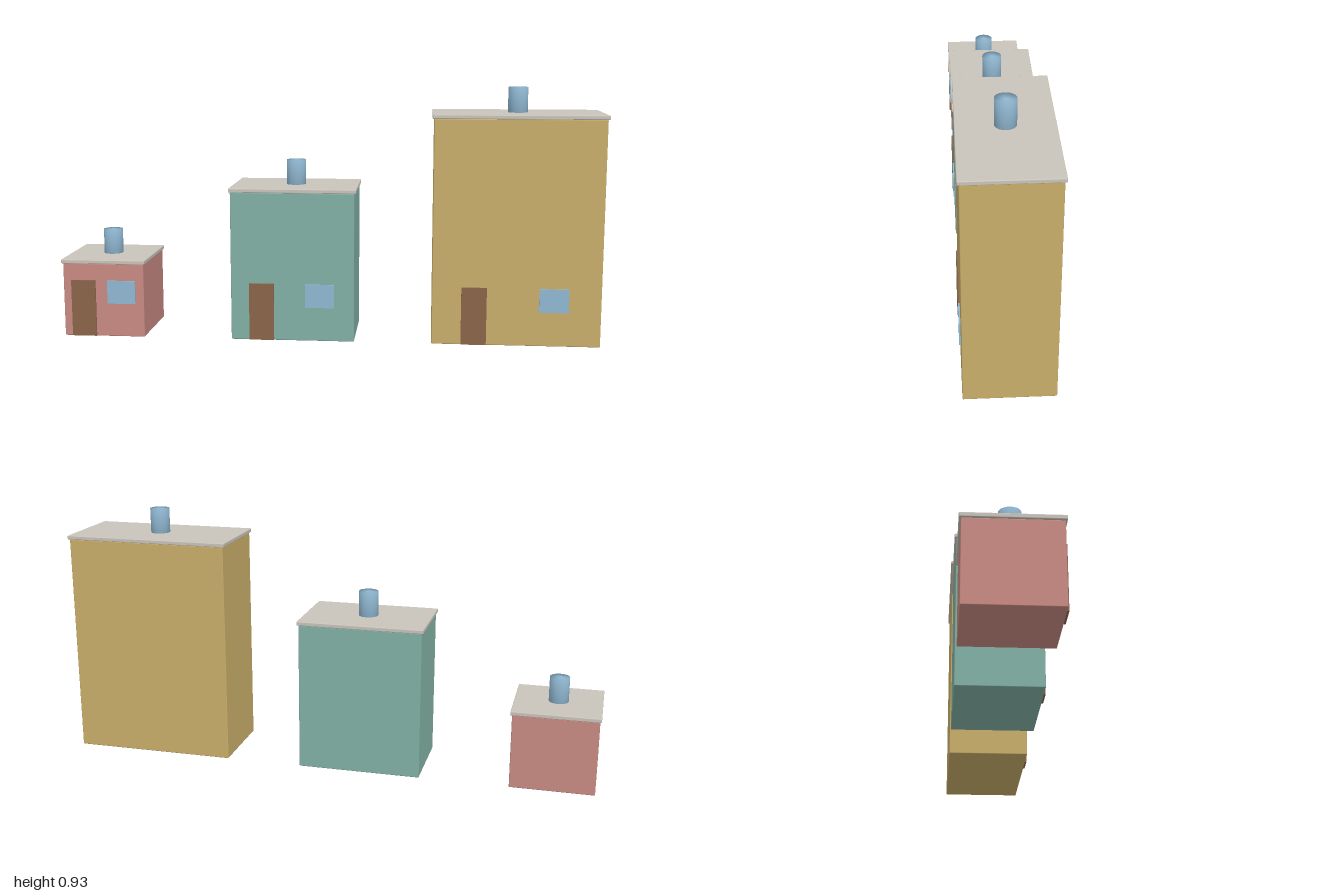
import * as THREE from 'three';
import { mergeVertices } from 'three/addons/utils/BufferGeometryUtils.js';
import { RoundedBoxGeometry } from 'three/addons/geometries/RoundedBoxGeometry.js';

const DEPTH = 0.305;
const EAVE = 0.006;

function paint(name, color) {
  const material = new THREE.MeshStandardMaterial({ color });
  material.name = name;
  return material;
}

function part(name, geometry, material, x, y, z) {
  const mesh = new THREE.Mesh(geometry, material);
  mesh.name = name;
  mesh.position.set(x, y, z);
  return mesh;
}

// Cylinder whose shading runs smoothly over its rims
function softCylinder(radius, height) {
  const g = new THREE.CylinderGeometry(radius, radius, height, 32);
  g.deleteAttribute('normal');
  g.deleteAttribute('uv');
  const merged = mergeVertices(g);
  merged.computeVertexNormals();
  return merged;
}

export function createModel() {
  const model = new THREE.Group();
  model.name = 'houseRow';

  const roofPaint = paint('roofGrey', 0xc9c4bb);
  const doorPaint = paint('doorBrown', 0x8b654a);
  const bluePaint = paint('paleBlue', 0x90b8d2);

  const houses = [
    { name: 'smallHouse', x: -0.842, width: 0.305, height: 0.277, wall: paint('wallPink', 0xc98a83) },
    { name: 'mediumHouse', x: -0.131, width: 0.457, height: 0.552, wall: paint('wallGreen', 0x82b0a4) },
    { name: 'largeHouse', x: 0.687, width: 0.61, height: 0.826, wall: paint('wallYellow', 0xc9ae6a) },
  ];

  for (const { name, x, width, height, wall } of houses) {
    const house = new THREE.Group();
    house.name = name;
    house.position.x = x;
    const front = DEPTH / 2 + 0.002;
    const roofHeight = 0.015;
    const chimneyHeight = 0.092;

    house.add(
      part('walls', new RoundedBoxGeometry(width, height, DEPTH, 2, 0.003), wall, 0, height / 2, 0),
      part('roof', new RoundedBoxGeometry(width + 2 * EAVE, roofHeight, DEPTH + 2 * EAVE, 2, 0.003),
        roofPaint, 0, height + roofHeight / 2, 0),
      part('chimney', softCylinder(0.036, chimneyHeight), bluePaint,
        0, height + roofHeight + chimneyHeight / 2, 0),
      // Thin plates on the front wall
      part('door', new THREE.BoxGeometry(0.092, 0.213, 0.007), doorPaint, -width / 4, 0.1075, front),
      part('window', new THREE.BoxGeometry(0.106, 0.087, 0.007), bluePaint, width * 0.222, 0.17, front),
    );
    model.add(house);
  }
  return model;
}
